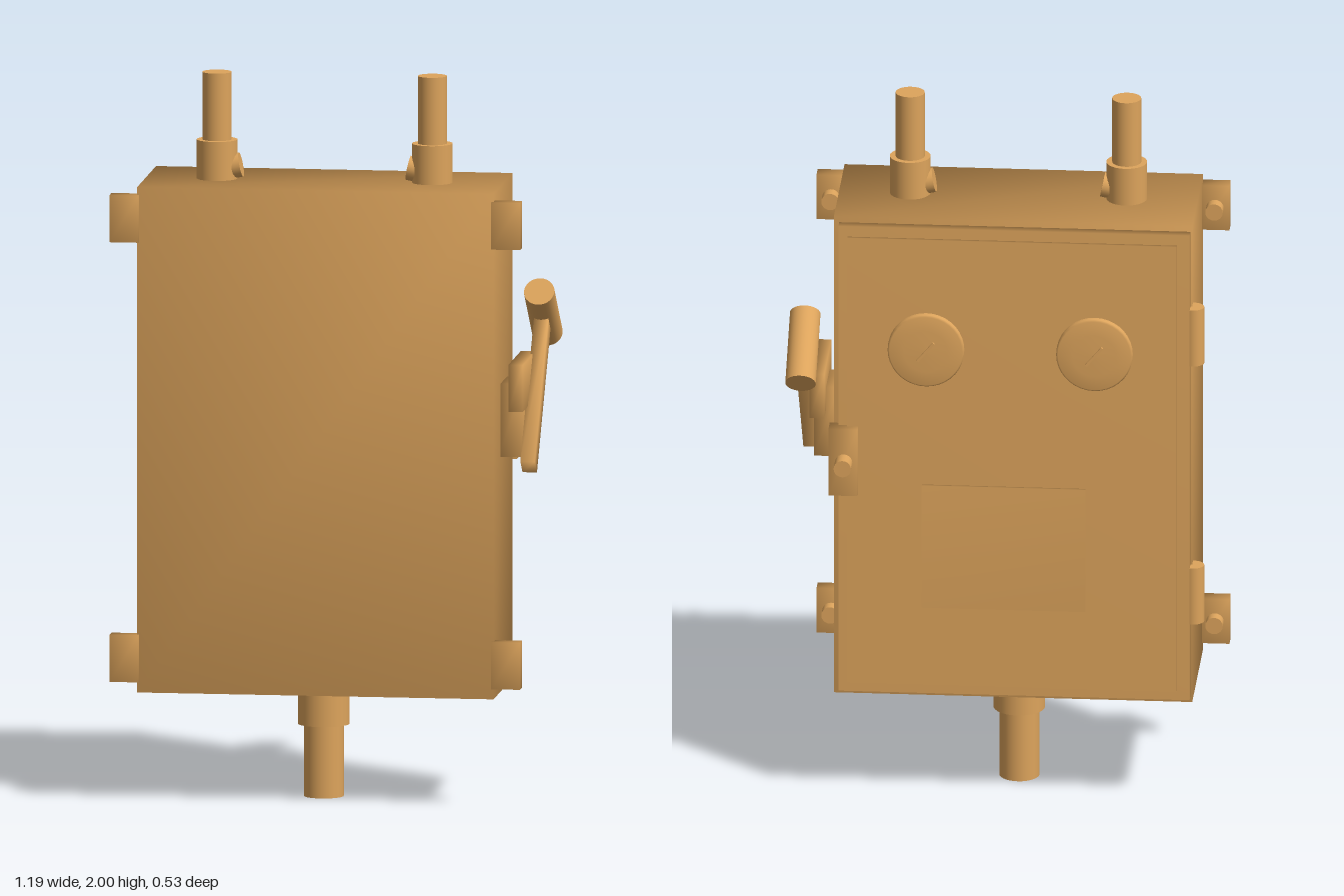
import * as THREE from 'three';
import { mergeVertices } from 'three/addons/utils/BufferGeometryUtils.js';

export function createModel() {
  const model = new THREE.Group();
  model.name = 'electricalCabinet';
  const material = new THREE.MeshStandardMaterial({ color: 0xdda45c });

  function add(name, geometry, x, y, z, parent = model) {
    const mesh = new THREE.Mesh(geometry, material);
    mesh.name = name;
    mesh.position.set(x, y, z);
    parent.add(mesh);
    return mesh;
  }

  // Box between two corners, with corner normals shared for soft shading
  function softBox(name, [x0, x1], [y0, y1], [z0, z1], parent = model) {
    let geometry = new THREE.BoxGeometry(x1 - x0, y1 - y0, z1 - z0);
    geometry.deleteAttribute('normal');
    geometry.deleteAttribute('uv');
    geometry = mergeVertices(geometry);
    geometry.computeVertexNormals();
    return add(name, geometry, (x0 + x1) / 2, (y0 + y1) / 2, (z0 + z1) / 2, parent);
  }

  // Upright rod between two heights
  function rod(name, radius, y0, y1, x, z) {
    return add(name, new THREE.CylinderGeometry(radius, radius, y1 - y0, 28), x, (y0 + y1) / 2, z);
  }

  // Rod running along z
  function bolt(name, radius, x, y, z0, z1) {
    const mesh = add(name, new THREE.CylinderGeometry(radius, radius, z1 - z0, 20), x, y, (z0 + z1) / 2);
    mesh.rotation.x = Math.PI / 2;
    return mesh;
  }

  // Cabinet body and layered door at the back
  softBox('cabinetBody', [-0.52, 0.465], [0.305, 1.705], [-0.14, 0.255]);
  softBox('door', [-0.515, 0.45], [0.322, 1.69], [-0.17, -0.135]);
  softBox('doorPanel', [-0.48, 0.425], [0.35, 1.66], [-0.18, -0.165]);
  softBox('labelPlate', [-0.23, 0.22], [0.58, 0.94], [-0.188, -0.175]);

  // Round gauges with a slightly domed face and a needle
  const gaugeProfile = [[0.105, 0], [0.105, 0.017], [0.1, 0.022], [0.06, 0.025], [0, 0.026]]
    .map(([r, h]) => new THREE.Vector2(r, h));
  for (const x of [-0.255, 0.208]) {
    const gauge = add('gauge', new THREE.LatheGeometry(gaugeProfile, 36), x, 1.34, -0.178);
    gauge.rotation.x = -Math.PI / 2;
    const needle = add('gaugeNeedle', new THREE.BoxGeometry(0.07, 0.007, 0.008), x, 1.34, -0.206);
    needle.rotation.z = -0.87;
  }

  // Door hinges
  for (const y of [0.545, 1.305]) rod('hinge', 0.03, y, y + 0.165, -0.523, -0.14);

  // Wall mounting lugs with bolts
  for (const x of [-0.555, 0.5]) {
    for (const y of [0.4, 1.618]) {
      softBox('mountingLug', [x - 0.04, x + 0.04], [y - 0.065, y + 0.065], [0.225, 0.27]);
      bolt('lugBolt', 0.024, x, y, 0.19, 0.23);
    }
  }

  // Door latch
  softBox('latchPlate', [0.395, 0.475], [0.91, 1.105], [-0.205, -0.155]);
  bolt('latchKnob', 0.024, 0.433, 1.008, -0.255, -0.2);

  // Conduits on top, each with a collar and an inward clamp screw
  for (const [x, inward] of [[-0.325, 1], [0.27, -1]]) {
    rod('topConduit', 0.04, 1.8, 2, x, 0.06);
    rod('topCollar', 0.056, 1.7, 1.813, x, 0.06);
    const screw = add('clampScrew', new THREE.CylinderGeometry(0.034, 0.034, 0.06, 20),
      x + inward * 0.037, 1.738, 0.06);
    screw.rotation.z = -inward * (Math.PI / 2 - 0.2);
  }

  // Conduit underneath
  rod('bottomConduit', 0.055, 0, 0.21, -0.03, 0.06);
  rod('bottomCollar', 0.071, 0.2, 0.31, -0.03, 0.06);

  // Switch mount on the side
  softBox('switchBase', [0.46, 0.528], [0.955, 1.158], [-0.025, 0.107]);
  softBox('switchBlock', [0.495, 0.535], [1.09, 1.22], [-0.088, 0.173]);

  // Tilted lever with a cross grip
  const lever = new THREE.Group();
  lever.name = 'switchLever';
  lever.position.set(0.549, 0.936, 0.157);
  lever.rotation.x = -0.675;
  model.add(lever);
  softBox('leverArm', [-0.02, 0.02], [0, 0.47], [-0.029, 0.029], lever);
  const grip = add('leverGrip', new THREE.CylinderGeometry(0.042, 0.042, 0.222, 28), 0, 0.492, 0, lever);
  grip.rotation.x = Math.PI / 2;

  return model;
}
